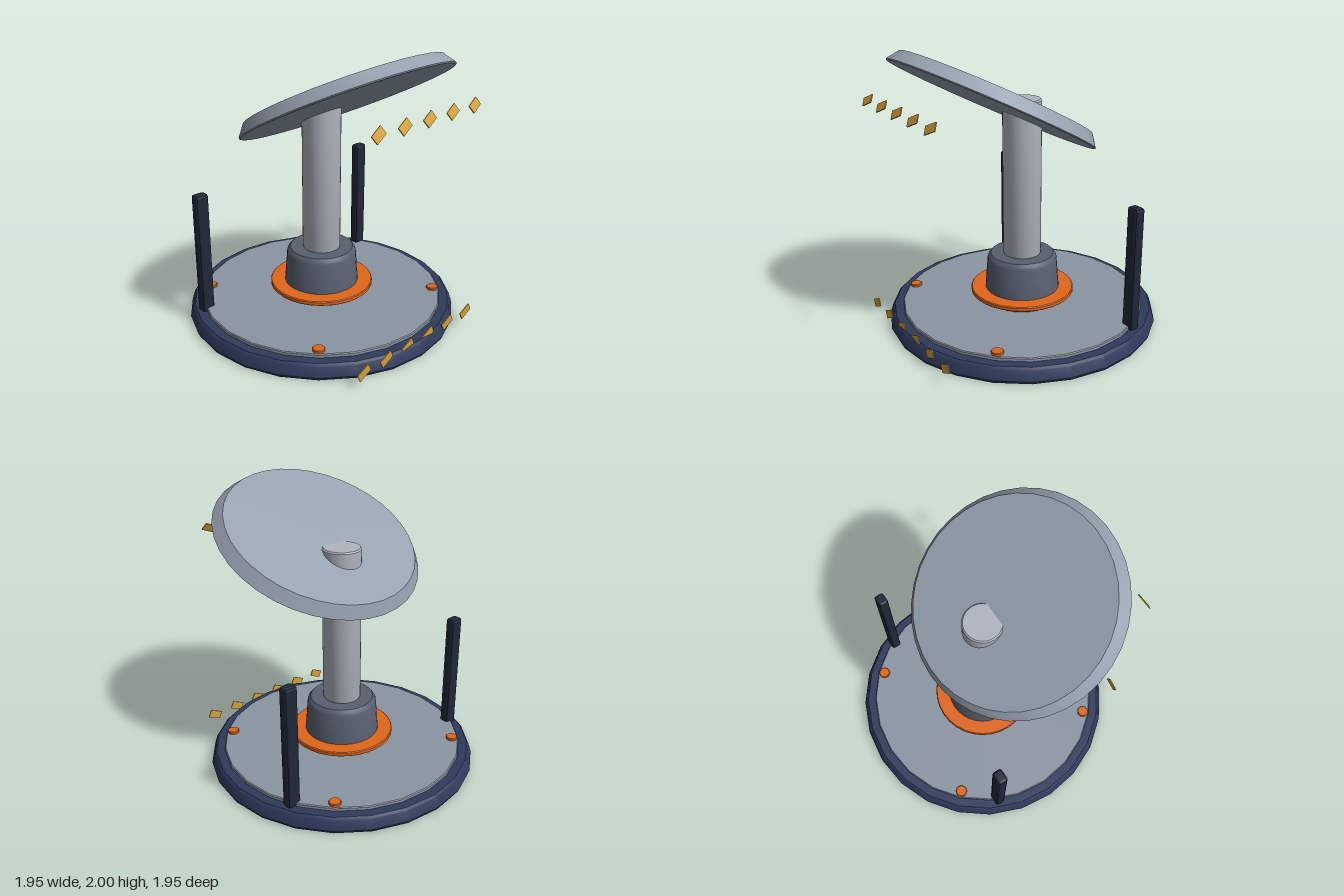
import * as THREE from 'three';
import { toCreasedNormals } from 'three/addons/utils/BufferGeometryUtils.js';
import { RoundedBoxGeometry } from 'three/addons/geometries/RoundedBoxGeometry.js';

const mat = (color) => new THREE.MeshStandardMaterial({ color });
const navy = mat(0x2e3a5c), dark = mat(0x1f2838), steel = mat(0x8b95a3), panel = mat(0x96a1b0);
const pale = mat(0xb0b5c0), slate = mat(0x586070), orange = mat(0xe0661a), gold = mat(0xd4a03a);

function mesh(name, geometry, material, x = 0, y = 0, z = 0) {
  const m = new THREE.Mesh(geometry, material);
  m.name = name;
  m.position.set(x, y, z);
  return m;
}

// Turned part from [radius, height] pairs, listed bottom to top
function turned(profile, sides, crease = 0.5) {
  const points = profile.map(([r, y]) => new THREE.Vector2(r, y));
  return toCreasedNormals(new THREE.LatheGeometry(points, sides), crease);
}

export function createModel() {
  const model = new THREE.Group();
  model.name = 'padStation';

  // Base and deck
  model.add(mesh('base', turned([[0, 0], [0.968, 0], [0.977, 0.02], [0.955, 0.09], [0.94, 0.105], [0, 0.105]], 24), navy));
  model.add(mesh('deck', turned([[0, 0.1], [0.878, 0.1], [0.878, 0.124], [0.872, 0.13], [0, 0.13]], 24), steel));

  // Collar, ring and column
  model.add(mesh('collar', turned([[0, 0.13], [0.275, 0.13], [0.275, 0.16], [0.252, 0.445], [0.245, 0.462], [0.228, 0.48], [0, 0.48]], 32), slate));
  model.add(mesh('collarRing', turned([[0.25, 0.186], [0.37, 0.186], [0.376, 0.192], [0.376, 0.213], [0.37, 0.219], [0.25, 0.219]], 32), orange));
  model.add(mesh('column', turned([[0, 0.47], [0.13, 0.47], [0.137, 0.49], [0.137, 1.61], [0.128, 1.62], [0, 1.62]], 32), pale));

  // Deck bolts
  const boltShape = turned([[0, 0.12], [0.042, 0.12], [0.042, 0.144], [0.038, 0.149], [0, 0.149]], 20);
  for (const x of [-0.585, 0.585])
    for (const z of [-0.585, 0.585]) model.add(mesh('bolt', boltShape, orange, x, 0, z));

  // Rear posts with chamfered edges
  const postShape = toCreasedNormals(new RoundedBoxGeometry(0.097, 0.892, 0.074, 1, 0.018), 0.3);
  for (const side of [-1, 1])
    model.add(mesh(side > 0 ? 'leftPost' : 'rightPost', postShape, dark, side * 0.78, 0.546, -0.376));

  // Tilted canopy disc pierced by the column
  const tilt = -28 * Math.PI / 180;
  const canopy = mesh('canopy', turned([[0, 0], [0.742, 0], [0.75, 0.008], [0.692, 0.09], [0, 0.09]], 36), panel, 0, 1.6, 0.247);
  canopy.rotation.x = tilt;
  model.add(canopy);

  // Rows of small rolled plates, above and below
  const plateShape = new THREE.BoxGeometry(0.106, 0.059, 0.007);
  function plateRow(name, count, spacing, y, z, lean) {
    const row = new THREE.Group();
    row.name = name;
    for (let i = 0; i < count; i++) {
      const plate = mesh('plate', plateShape, gold, (i - (count - 1) / 2) * spacing, y, z);
      plate.rotation.set(lean, 0, 0.45);
      row.add(plate);
    }
    model.add(row);
  }
  plateRow('upperPlates', 5, 0.226, 1.638, 0.93, tilt);
  plateRow('lowerPlates', 6, 0.21, 0.106, 0.931, 0);

  return model;
}
